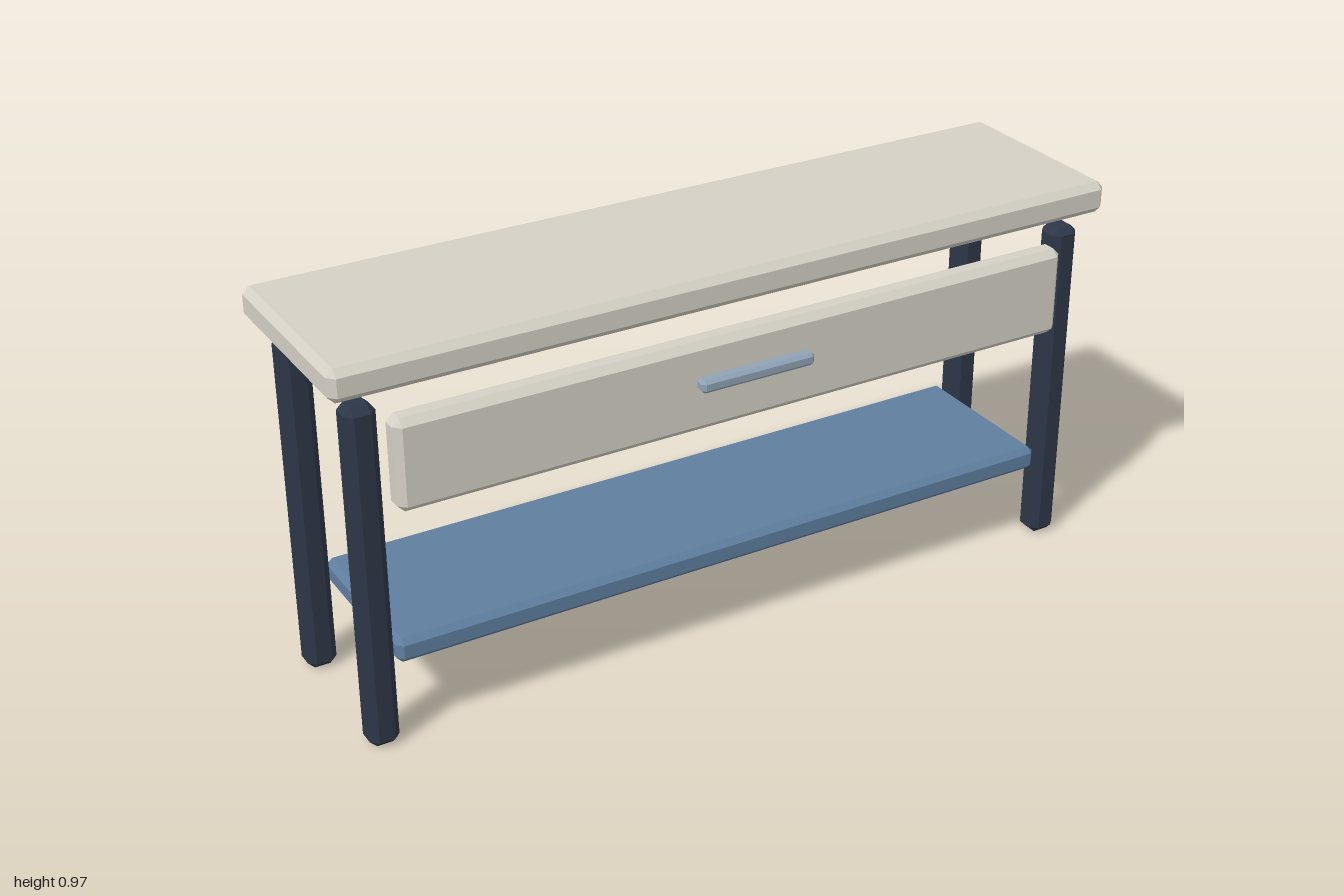
import * as THREE from 'three';
import { ConvexGeometry } from 'three/addons/geometries/ConvexGeometry.js';

const material = (color) => new THREE.MeshStandardMaterial({ color, flatShading: true });

// Box with every edge cut by a single flat bevel c, given by its min and max corners
function bevelledBox(name, min, max, c, mat) {
  const half = min.map((v, i) => (max[i] - v) / 2);
  const points = [];
  for (const sx of [-1, 1]) for (const sy of [-1, 1]) for (const sz of [-1, 1]) {
    for (let axis = 0; axis < 3; axis++) {
      // each corner becomes three points, one lying on each adjoining face
      const p = [sx, sy, sz].map((s, i) => s * (half[i] - (i === axis ? 0 : c)));
      points.push(new THREE.Vector3(...p));
    }
  }
  const mesh = new THREE.Mesh(new ConvexGeometry(points), mat);
  mesh.name = name;
  mesh.position.set(...min.map((v, i) => v + half[i]));
  return mesh;
}

export function createModel() {
  const model = new THREE.Group();
  model.name = 'consoleTable';
  const cream = material(0xd4d0c5);
  const navy = material(0x2d3748);
  const blue = material(0x5f7f9f);
  const steel = material(0x8fa3b5);

  // Table top, overhanging the legs
  model.add(bevelledBox('tableTop', [-1, 0.888, -0.27], [1, 0.967, 0.23], 0.017, cream));

  // Drawer front and its pull bar
  model.add(bevelledBox('drawerFront', [-0.87, 0.603, 0.178], [0.87, 0.825, 0.243], 0.017, cream));
  model.add(bevelledBox('drawerHandle', [-0.148, 0.711, 0.236], [0.148, 0.743, 0.271], 0.008, steel));

  // Lower shelf
  model.add(bevelledBox('shelf', [-0.876, 0.197, -0.23], [0.876, 0.259, 0.19], 0.014, blue));

  // Four legs
  const w = 0.036;
  for (const [side, x] of [['left', 0.92], ['right', -0.92]]) {
    for (const [end, z] of [['Front', 0.161], ['Back', -0.201]]) {
      model.add(bevelledBox(`${side}${end}Leg`, [x - w, 0, z - w], [x + w, 0.851, z + w], 0.017, navy));
    }
  }
  return model;
}
